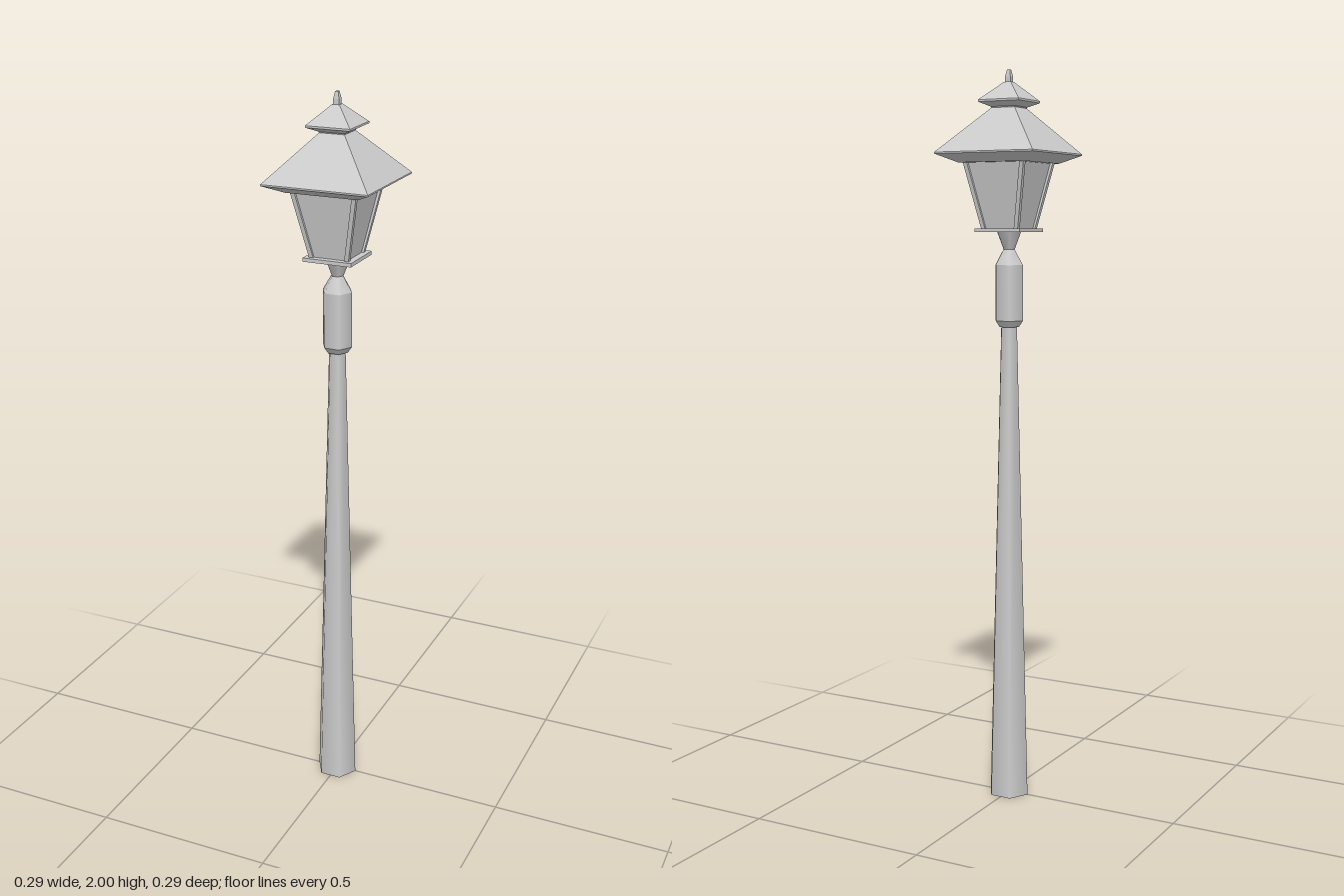
import * as THREE from 'three';

const smooth = new THREE.MeshStandardMaterial({ color: 0xcccccc });
const flat = new THREE.MeshStandardMaterial({ color: 0xcccccc, flatShading: true });

export function createModel() {
  const group = new THREE.Group();
  const add = (name, geometry, material = flat) => {
    const mesh = new THREE.Mesh(geometry, material);
    mesh.name = name;
    group.add(mesh);
    return mesh;
  };

  // Six-sided section with corners on the x axis
  const hex = (name, y0, r0, y1, r1, open = false) => {
    const g = new THREE.CylinderGeometry(r1, r0, y1 - y0, 6, 1, open, Math.PI / 6);
    g.translate(0, (y0 + y1) / 2, 0);
    add(name, g, smooth);
  };

  // Square section from a profile of [half width, height], bottom to top
  const square = (name, profile) => {
    const points = profile.map(([h, y]) => new THREE.Vector2(h * Math.SQRT2, y));
    add(name, new THREE.LatheGeometry(points, 4, Math.PI / 4));
  };

  // Tapering pole, collar and neck
  hex('pole', 0, 0.059, 1.325, 0.024);
  hex('collarBase', 1.318, 0.03, 1.335, 0.042);
  hex('collar', 1.335, 0.042, 1.485, 0.042, true);
  hex('collarShoulder', 1.485, 0.042, 1.527, 0.017);
  hex('lanternNeck', 1.522, 0.015, 1.575, 0.037);

  // Lantern floor and inset glass
  square('lanternFloor', [[0, 1.573], [0.068, 1.573], [0.068, 1.583], [0, 1.583]]);
  square('glass', [[0.049, 1.58], [0.084, 1.76]]);

  // Four slanted corner posts, each a box whose ends follow the glass
  const y0 = 1.58, y1 = 1.762, half = 0.006;
  for (const sx of [-1, 1]) for (const sz of [-1, 1]) {
    const g = new THREE.BoxGeometry(half * 2, y1 - y0, half * 2);
    const p = g.attributes.position;
    for (let i = 0; i < p.count; i++) {
      const centre = p.getY(i) > 0 ? 0.086 : 0.049;
      p.setX(i, p.getX(i) + sx * centre);
      p.setZ(i, p.getZ(i) + sz * centre);
    }
    g.translate(0, (y0 + y1) / 2, 0);
    add('cornerPost', g);
  }

  // Roof with sloping eaves, vent cap and finial
  square('roof', [[0, 1.756], [0.1, 1.756], [0.146, 1.778], [0.146, 1.782], [0.033, 1.902]]);
  square('ventCap', [[0.033, 1.895], [0.036, 1.903], [0.061, 1.915], [0.061, 1.92], [0.01, 1.968], [0, 1.968]]);
  square('finial', [[0.008, 1.963], [0.008, 1.982], [0.004, 2], [0, 2]]);

  return group;
}
